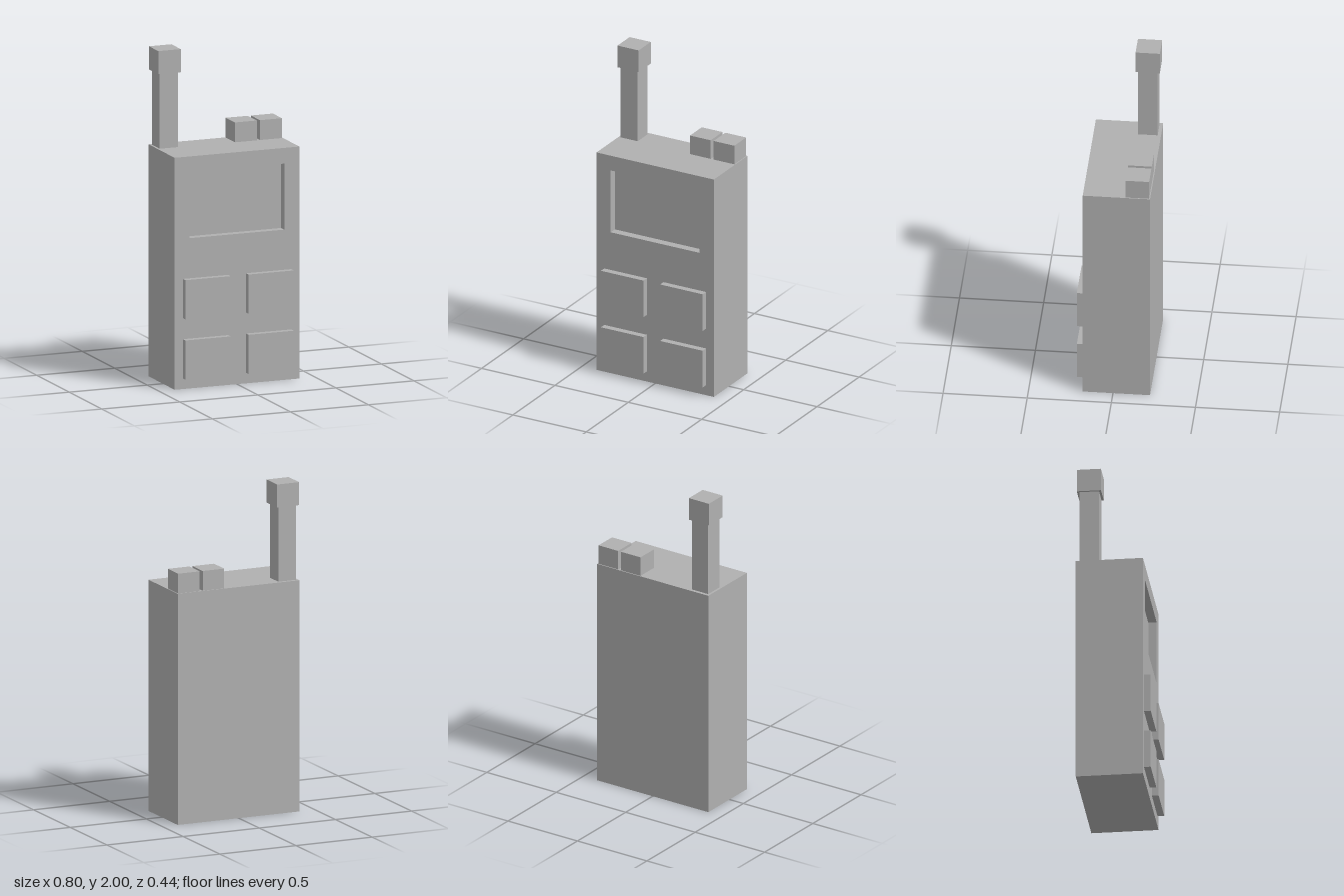
import * as THREE from 'three';

const grey = new THREE.MeshStandardMaterial({ color: 0xb0b0b0 });
grey.name = 'grey plastic';

// Box given by its extents on each axis
function block(name, [x0, x1], [y0, y1], [z0, z1]) {
  const mesh = new THREE.Mesh(new THREE.BoxGeometry(x1 - x0, y1 - y0, z1 - z0), grey);
  mesh.position.set((x0 + x1) / 2, (y0 + y1) / 2, (z0 + z1) / 2);
  mesh.name = name;
  return mesh;
}

// Corners of a rectangle, anticlockwise
function rectangle(x0, x1, y0, y1) {
  return [[x0, y0], [x1, y0], [x1, y1], [x0, y1]].map(([x, y]) => new THREE.Vector2(x, y));
}

export function createModel() {
  const model = new THREE.Group();
  model.name = 'walkieTalkie';

  const top = 1.405, front = 0.18, back = -0.22, recess = 0.05;

  // Body: solid back, with a front panel cut out around the sunken screen
  model.add(block('body', [-0.4, 0.4], [0, top], [back, front - recess]));
  const panelShape = new THREE.Shape(rectangle(-0.4, 0.4, 0, top));
  panelShape.holes.push(new THREE.Path(rectangle(-0.303, 0.303, 0.91, 1.31).reverse()));
  const panel = new THREE.Mesh(
    new THREE.ExtrudeGeometry(panelShape, { depth: recess, bevelEnabled: false }), grey);
  panel.position.z = front - recess;
  panel.name = 'frontPanel';
  model.add(panel);

  // Two rows of raised keys
  for (const [y0, y1] of [[0.065, 0.302], [0.43, 0.667]]) {
    for (const [x0, x1] of [[-0.347, -0.057], [0.057, 0.347]]) {
      model.add(block('key', [x0, x1], [y0, y1], [front, 0.22]));
    }
  }

  // Antenna with a wider cap
  model.add(block('antenna', [-0.386, -0.27], [top, 1.86], [-0.2, -0.083]));
  model.add(block('antennaCap', [-0.4, -0.256], [1.86, 2], [-0.214, -0.07]));

  // Knobs on top
  for (const x of [0.092, 0.253]) {
    model.add(block('knob', [x, x + 0.141], [top, 1.525], [-0.214, -0.074]));
  }

  return model;
}
